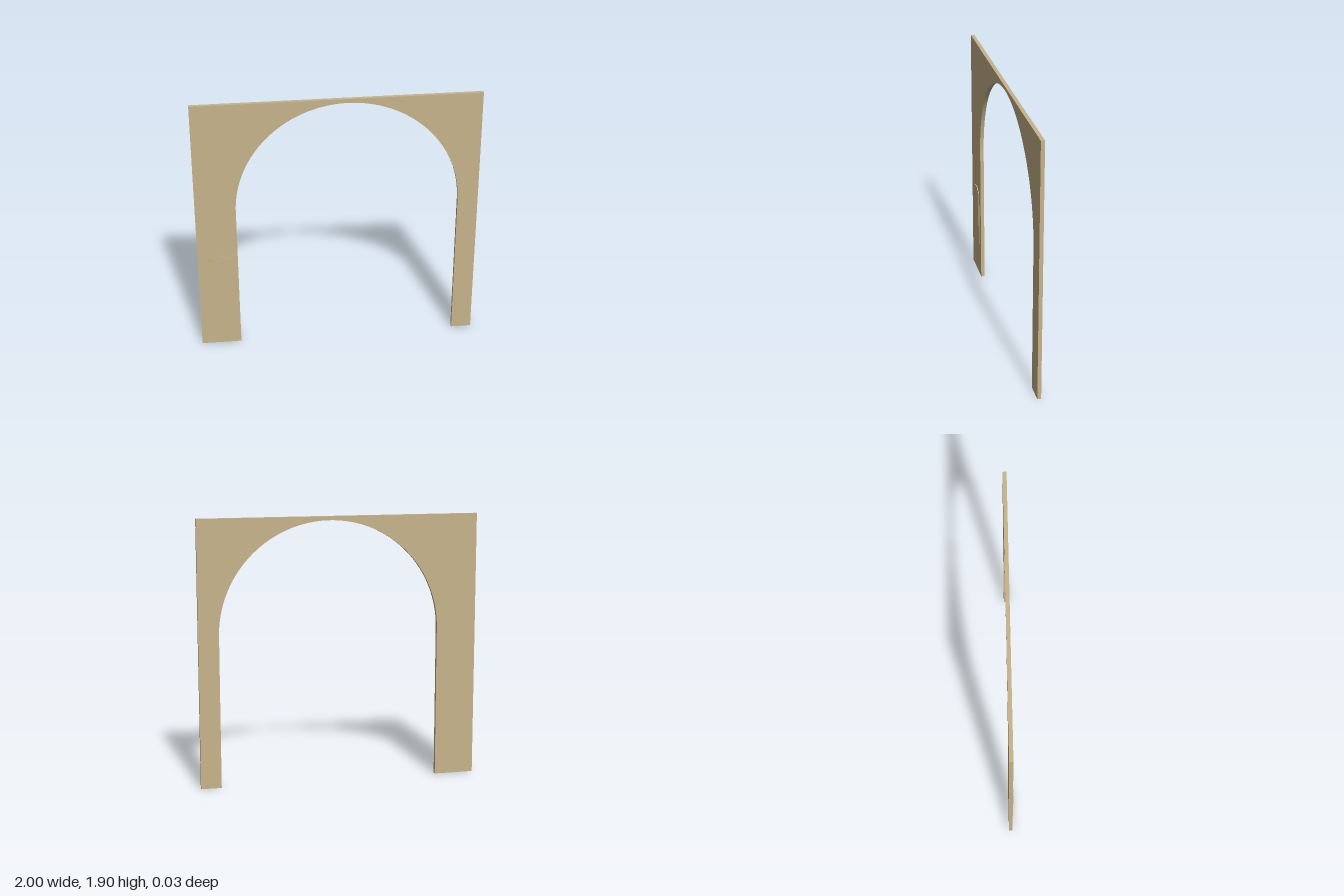
import * as THREE from 'three';

const HEIGHT = 1.9, CENTRE = 0.07, RADIUS = 0.785, SPRING = 1.087;
const BACK = -0.016, FRONT = 0.011, RELIEF = 0.0055;

function extrude(shape, z, depth, material, name) {
  const geometry = new THREE.ExtrudeGeometry(shape, { depth, bevelEnabled: false, curveSegments: 40 });
  geometry.translate(0, 0, z);
  const mesh = new THREE.Mesh(geometry, material);
  mesh.name = name;
  return mesh;
}

// One half of the wall: outer edge, jamb and a quarter of the round arch
function halfWall(side) {
  const outer = side, jamb = CENTRE + side * RADIUS;
  const shape = new THREE.Shape();
  shape.moveTo(outer, 0);
  shape.lineTo(jamb, 0);
  shape.lineTo(jamb, SPRING);
  shape.absarc(CENTRE, SPRING, RADIUS, side < 0 ? Math.PI : 0, Math.PI / 2, side < 0);
  shape.lineTo(CENTRE, HEIGHT);
  shape.lineTo(outer, HEIGHT);
  shape.closePath();
  return shape;
}

// Shallow panel with a scalloped top
function scallopedPanel() {
  const shape = new THREE.Shape();
  shape.moveTo(-0.915, 0.27);
  shape.lineTo(-0.765, 0.27);
  shape.lineTo(-0.765, 0.695);
  shape.quadraticCurveTo(-0.775, 0.718, -0.805, 0.712);
  shape.quadraticCurveTo(-0.815, 0.735, -0.842, 0.738);
  shape.quadraticCurveTo(-0.862, 0.735, -0.872, 0.718);
  shape.quadraticCurveTo(-0.89, 0.735, -0.9, 0.715);
  shape.quadraticCurveTo(-0.915, 0.715, -0.915, 0.695);
  shape.closePath();
  return shape;
}

export function createModel() {
  const model = new THREE.Group();
  model.name = 'archedWall';
  const stone = new THREE.MeshStandardMaterial({ color: 0xc8b48c });
  stone.name = 'sandstone';

  for (const [side, name] of [[-1, 'rightHalf'], [1, 'leftHalf']]) {
    model.add(extrude(halfWall(side), BACK, FRONT - BACK, stone, name));
  }
  model.add(extrude(scallopedPanel(), FRONT - 0.001, RELIEF + 0.001, stone, 'reliefPanel'));
  return model;
}
